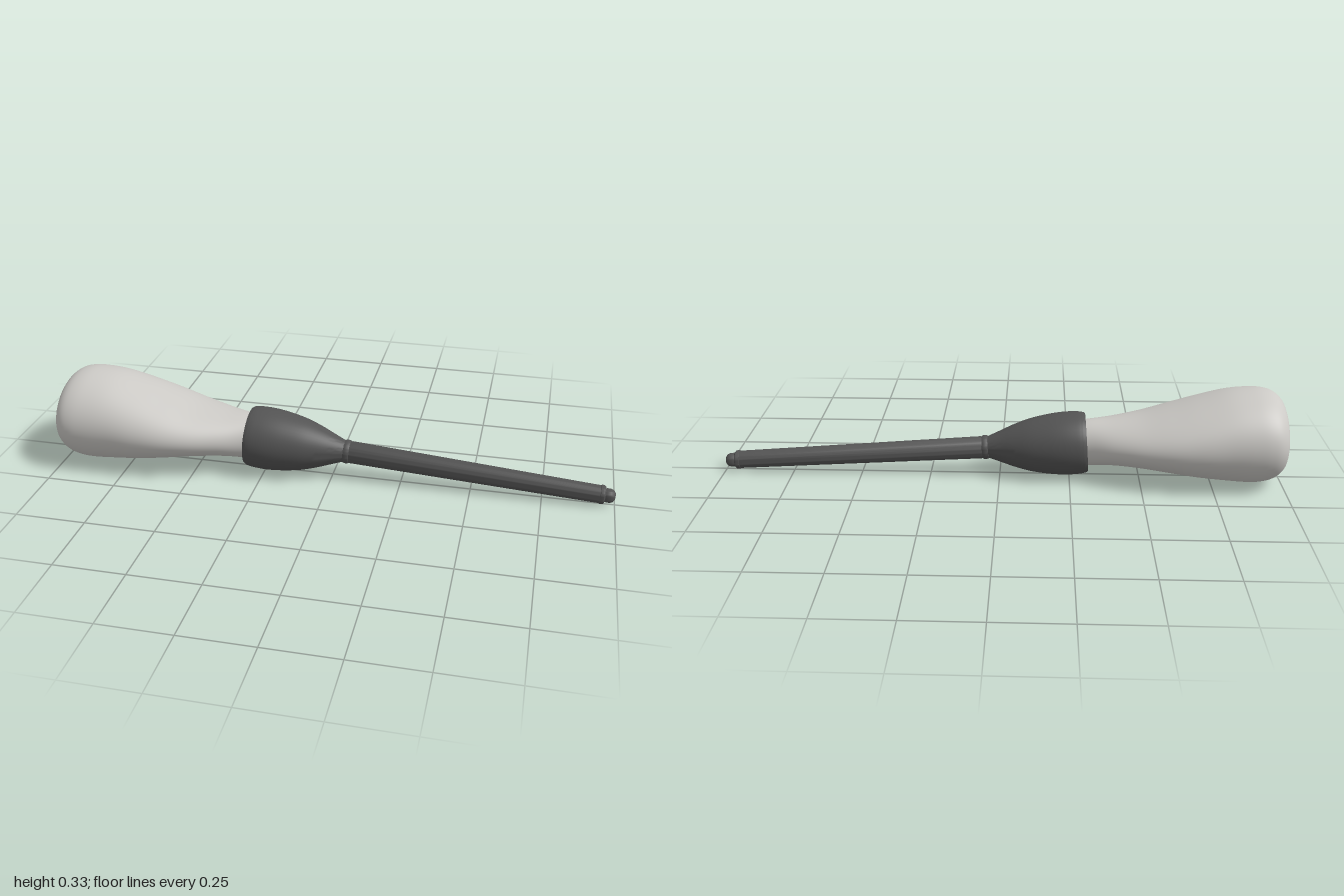
import * as THREE from 'three';
import { toCreasedNormals } from 'three/addons/utils/BufferGeometryUtils.js';

const V3 = (x, y, z) => new THREE.Vector3(x, y, z);

// Bristle sections: x, top y, bottom y, half width in z
const SECTIONS = [
  [-1.0, 0.26, 0.075, 0.13], [-0.99, 0.293, 0.045, 0.16], [-0.965, 0.318, 0.022, 0.182],
  [-0.93, 0.331, 0.008, 0.192], [-0.88, 0.334, 0.003, 0.195], [-0.8, 0.325, 0.009, 0.195],
  [-0.7, 0.297, 0.021, 0.194], [-0.6, 0.265, 0.038, 0.184], [-0.5, 0.236, 0.052, 0.16],
  [-0.4, 0.219, 0.055, 0.123], [-0.31, 0.211, 0.046, 0.085], [-0.24, 0.2, 0.045, 0.07],
];

// Smooth elliptical loft with a flat end
function bristleGeometry(sides = 64, rings = 66) {
  const upper = new THREE.CatmullRomCurve3(SECTIONS.map(s => V3(s[0], s[1], s[3])), false, 'catmullrom');
  const lower = new THREE.CatmullRomCurve3(SECTIONS.map(s => V3(s[0], s[2], 0)), false, 'catmullrom');
  const pos = [], index = [];
  const addRing = t => {
    const u = upper.getPoint(t), l = lower.getPoint(t);
    for (let j = 0; j < sides; j++) {
      const a = (j / sides) * Math.PI * 2;
      pos.push(u.x, (u.y + l.y) / 2 + (u.y - l.y) / 2 * Math.cos(a), u.z * Math.sin(a));
    }
  };
  for (let i = 0; i <= rings; i++) addRing(i / rings);
  for (let i = 0; i < rings; i++) {
    for (let j = 0; j < sides; j++) {
      const k = (j + 1) % sides, a = i * sides, b = a + sides;
      index.push(a + j, a + k, b + j, a + k, b + k, b + j);
    }
  }
  // Flat end with its own vertices
  const cap = pos.length / 3;
  addRing(0);
  const centre = pos.length / 3;
  pos.push(-1, 0.1675, 0);
  for (let j = 0; j < sides; j++) index.push(centre, cap + (j + 1) % sides, cap + j);
  const geo = new THREE.BufferGeometry();
  geo.setAttribute('position', new THREE.Float32BufferAttribute(pos, 3));
  geo.setIndex(index);
  geo.computeVertexNormals();
  return geo;
}

export function createModel() {
  const model = new THREE.Group();
  model.name = 'brush';
  const paleGrey = new THREE.MeshStandardMaterial({ color: 0xcccac6 });
  paleGrey.name = 'paleGreyBristle';
  const darkGrey = new THREE.MeshStandardMaterial({ color: 0x545454 });
  darkGrey.name = 'darkGreyHandle';

  const bristles = new THREE.Mesh(bristleGeometry(), paleGrey);
  bristles.name = 'bristles';
  model.add(bristles);

  // Turned parts share one axis, tilted slightly down towards the tip
  const turned = new THREE.Group();
  turned.name = 'turnedHandle';
  turned.position.set(-0.31, 0.128, 0);
  turned.rotation.z = -Math.PI / 2 - 0.07;
  model.add(turned);
  const turn = (name, profile) => {
    const geo = new THREE.LatheGeometry(profile.map(p => new THREE.Vector2(p[0], p[1])), 48);
    const mesh = new THREE.Mesh(toCreasedNormals(geo, 0.6), darkGrey);
    mesh.name = name;
    turned.add(mesh);
  };

  // Ferrule: hollow lip at the back, then a swelling body tapering to the neck
  const body = new THREE.SplineCurve([
    [0.108, 0.006], [0.112, 0.03], [0.113, 0.075], [0.108, 0.13], [0.095, 0.2],
    [0.076, 0.26], [0.056, 0.31], [0.039, 0.353],
  ].map(p => new THREE.Vector2(...p))).getPoints(32).map(p => [p.x, p.y]);
  turn('ferrule', [[0, 0.04], [0.092, 0.04], [0.094, 0.004], [0.098, 0], [0.104, 0], ...body]);

  // Collar ring
  turn('collar', [[0.036, 0.351], [0.041, 0.353], [0.043, 0.358], [0.043, 0.368], [0.041, 0.373], [0.037, 0.375]]);

  // Tapering handle
  turn('handle', [[0.037, 0.37], [0.04, 0.377], [0.0315, 1.262], [0.029, 1.264]]);

  // End ring and rounded tip
  turn('endRing', [[0.029, 1.258], [0.033, 1.261], [0.034, 1.266], [0.033, 1.273], [0.029, 1.277], [0.022, 1.278]]);
  turn('tip', [[0.022, 1.274], [0.025, 1.283], [0.025, 1.296], [0.021, 1.306], [0.013, 1.312], [0, 1.312]]);

  return model;
}
